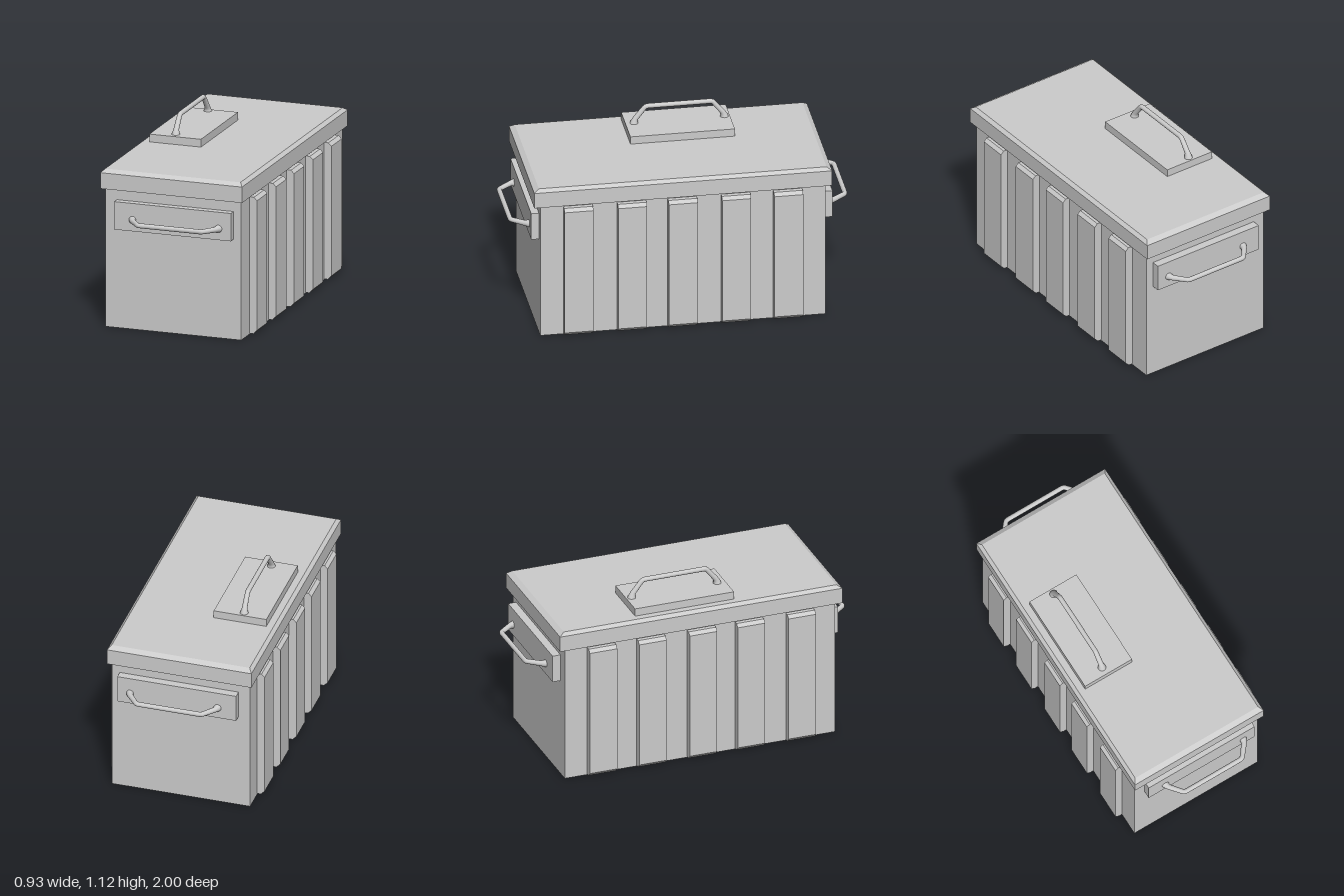
import * as THREE from 'three';

const material = new THREE.MeshStandardMaterial({ color: 0xcccccc });

function addMesh(parent, name, geometry, x = 0, y = 0, z = 0) {
  const mesh = new THREE.Mesh(geometry, material);
  mesh.name = name;
  mesh.position.set(x, y, z);
  parent.add(mesh);
  return mesh;
}

// Box given by its two extreme corners
function addBox(parent, name, [x0, y0, z0], [x1, y1, z1]) {
  return addMesh(parent, name, new THREE.BoxGeometry(x1 - x0, y1 - y0, z1 - z0),
    (x0 + x1) / 2, (y0 + y1) / 2, (z0 + z1) / 2);
}

// Box standing on y = 0 with its top edges chamfered
function lidGeometry(width, height, depth, bevelY, insetX, insetZ) {
  const geometry = new THREE.BoxGeometry(width, height, depth, 1, 2, 1).toNonIndexed();
  const p = geometry.attributes.position;
  for (let i = 0; i < p.count; i++) {
    const y = p.getY(i);
    if (y > 0.001) {
      p.setX(i, p.getX(i) - Math.sign(p.getX(i)) * insetX);
      p.setZ(i, p.getZ(i) - Math.sign(p.getZ(i)) * insetZ);
    }
    p.setY(i, y > 0.001 ? height : y < -0.001 ? 0 : bevelY);
  }
  geometry.computeVertexNormals();
  return geometry;
}

// Vertical rib: side profile chamfered at top and bottom, extruded over its width
function ribGeometry(width) {
  const shape = new THREE.Shape([
    [0, 0.005], [0.024, 0.005], [0.047, 0.028], [0.047, 0.81], [0.028, 0.829], [0, 0.829],
  ].map(([x, y]) => new THREE.Vector2(x, y)));
  return new THREE.ExtrudeGeometry(shape, { depth: width, bevelEnabled: false })
    .translate(0, 0, -width / 2);
}

// Bent bar in the xy plane with flared feet, lofted from mitred round sections
function handleGeometry(sides = 16) {
  const half = [[-0.266, 0, 0.025], [-0.264, 0.012, 0.021], [-0.256, 0.032, 0.016],
    [-0.206, 0.094, 0.0145], [-0.198, 0.102, 0.0145], [-0.186, 0.106, 0.0145]];
  const stations = [...half, ...half.map(([x, y, r]) => [-x, y, r]).reverse()];
  const points = stations.map(([x, y]) => new THREE.Vector2(x, y));
  const last = points.length - 1;
  const direction = (a, b) => points[b].clone().sub(points[a]).normalize();
  const positions = [], indices = [];
  stations.forEach(([x, y, r], i) => {
    const t = i === 0 ? new THREE.Vector2(0, 1)
      : i === last ? new THREE.Vector2(0, -1)
      : direction(i - 1, i).add(direction(i, i + 1)).normalize();
    for (let j = 0; j < sides; j++) {
      const a = j / sides * Math.PI * 2;
      const c = Math.cos(a) * r;
      positions.push(x - t.y * c, y + t.x * c, Math.sin(a) * r);
      if (i < last) {
        const p = i * sides + j, q = i * sides + (j + 1) % sides;
        indices.push(p, q, p + sides, q, q + sides, p + sides);
      }
    }
  });
  const geometry = new THREE.BufferGeometry();
  geometry.setAttribute('position', new THREE.Float32BufferAttribute(positions, 3));
  geometry.setIndex(indices);
  geometry.computeVertexNormals();
  return geometry;
}

export function createModel() {
  const model = new THREE.Group();
  model.name = 'ribbedChest';

  // Body and lid
  addBox(model, 'body', [-0.422, 0, -0.838], [0.418, 0.85, 0.842]);
  addMesh(model, 'lid', lidGeometry(0.878, 0.115, 1.754, 0.096, 0.02, 0.03), -0.002, 0.84, 0.003);

  // Five ribs on each long side
  const rib = ribGeometry(0.17);
  for (const z of [-0.614, -0.307, 0.007, 0.305, 0.621]) {
    addMesh(model, 'leftRib', rib, 0.418, 0, z);
    addMesh(model, 'rightRib', rib, -0.42, 0, z).rotation.y = Math.PI;
  }

  // Handle on the lid, offset to one side
  const handle = handleGeometry();
  addBox(model, 'topPlate', [-0.38, 0.95, -0.385], [-0.06, 1.002, 0.23]);
  addMesh(model, 'topHandle', handle, -0.235, 1.0, -0.086).rotation.y = Math.PI / 2;

  // Handles on both ends
  for (const [side, s] of [['front', 1], ['back', -1]]) {
    addBox(model, side + 'Plate', [-0.352, 0.604, Math.min(s * 0.82, s * 0.887)],
      [0.37, 0.772, Math.max(s * 0.82, s * 0.887)]);
    const grip = addMesh(model, side + 'Handle', handle, 0.027, 0.672, s * 0.88);
    grip.rotation.x = s * Math.PI / 2;
  }
  return model;
}
